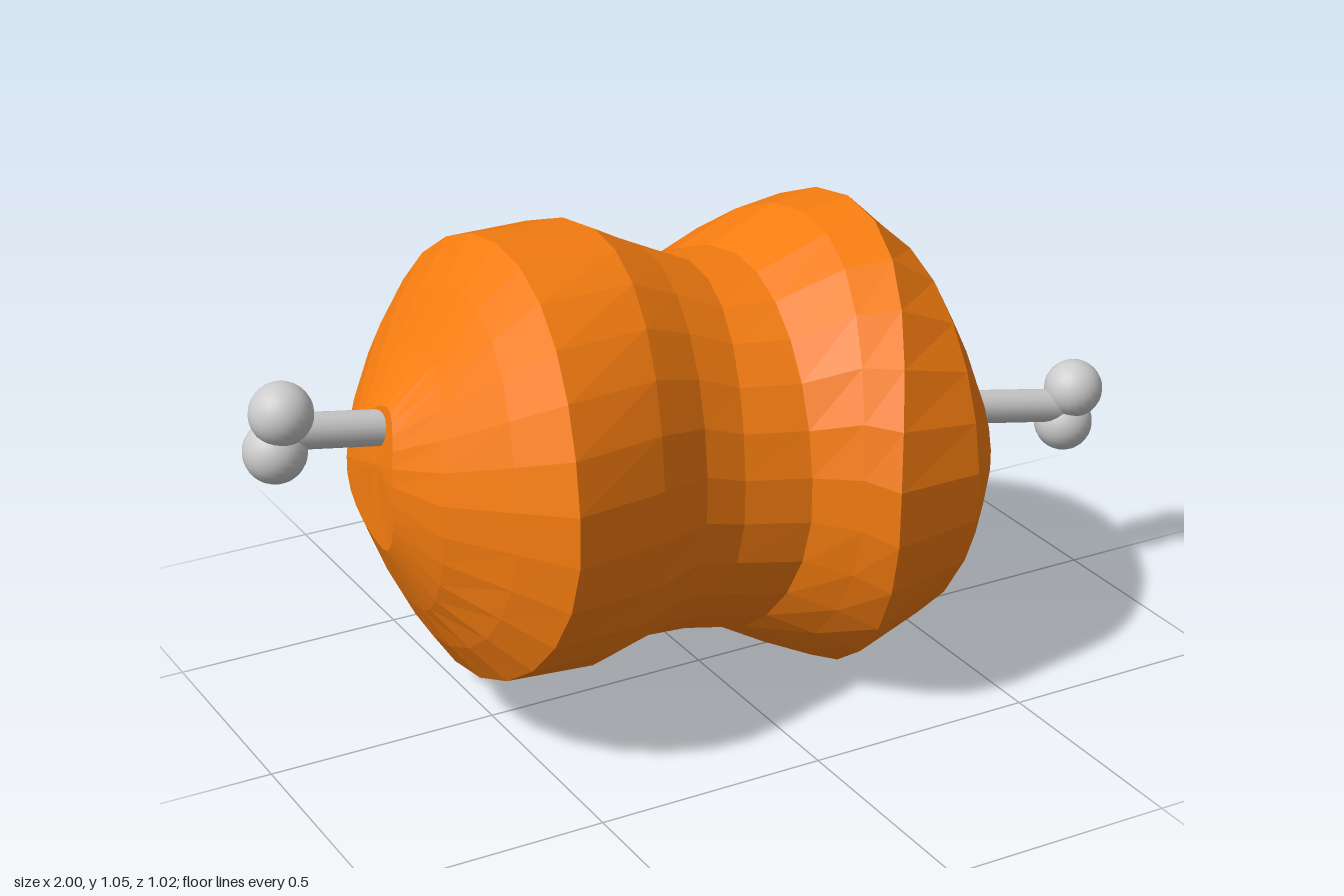
import * as THREE from 'three';

// Cross-sections along the meat: x,y of top; x,y of bottom; x,z of back; x,z of front
const SECTIONS = [
  [-0.71, 0.76, -0.73, 0.45, -0.76, -0.10, -0.74, 0.08],
  [-0.62, 0.86, -0.67, 0.31, -0.69, -0.25, -0.69, 0.20],
  [-0.54, 0.97, -0.63, 0.23, -0.61, -0.36, -0.60, 0.35],
  [-0.46, 1.06, -0.58, 0.155, -0.52, -0.45, -0.52, 0.465],
  [-0.24, 1.05, -0.37, 0.12, -0.40, -0.515, -0.30, 0.40],
  [-0.13, 0.99, -0.22, 0.145, -0.29, -0.50, -0.17, 0.34],
  [-0.02, 0.94, -0.13, 0.14, -0.20, -0.41, -0.08, 0.335],
  [0.09, 0.935, 0.00, 0.115, -0.08, -0.42, 0.06, 0.365],
  [0.25, 1.00, 0.10, 0.06, 0.06, -0.45, 0.13, 0.45],
  [0.36, 1.015, 0.215, 0.005, 0.20, -0.475, 0.18, 0.51],
  [0.45, 0.93, 0.33, 0.06, 0.39, -0.45, 0.40, 0.465],
  [0.53, 0.80, 0.46, 0.13, 0.47, -0.38, 0.48, 0.37],
  [0.60, 0.65, 0.60, 0.27, 0.59, -0.24, 0.57, 0.26],
  [0.63, 0.53, 0.69, 0.39, 0.64, -0.08, 0.64, 0.06],
];
const SIDES = 26;

// Point on a section: an ellipse through its four guide points
function sectionPoint([tx, ty, bx, by, kx, kz, fx, fz], angle) {
  const c = Math.cos(angle), s = Math.sin(angle);
  const x = c * c * (c > 0 ? tx : bx) + s * s * (s > 0 ? fx : kx);
  const y = (ty + by) / 2 + (c * (ty - by)) / 2;
  return [x, y, Math.abs(s) * (s > 0 ? fz : kz)];
}

function meatGeometry() {
  const points = [], index = [];
  for (const section of SECTIONS)
    for (let j = 0; j < SIDES; j++)
      points.push(...sectionPoint(section, (j / SIDES) * Math.PI * 2));
  const last = (SECTIONS.length - 1) * SIDES;
  const leftTip = points.length / 3, rightTip = leftTip + 1;
  points.push(-0.73, 0.63, -0.02, 0.65, 0.47, 0.0);
  for (let j = 0; j < SIDES; j++) {
    const n = (j + 1) % SIDES;
    for (let i = 0; i < last; i += SIDES)
      index.push(i + j, i + n, i + SIDES + j, i + n, i + SIDES + n, i + SIDES + j);
    index.push(leftTip, n, j, rightTip, last + j, last + n);
  }
  const indexed = new THREE.BufferGeometry();
  indexed.setAttribute('position', new THREE.Float32BufferAttribute(points, 3));
  indexed.setIndex(index);
  const geometry = indexed.toNonIndexed();
  geometry.computeVertexNormals();
  return geometry;
}

export function createModel() {
  const model = new THREE.Group();
  const meatMaterial = new THREE.MeshStandardMaterial({ color: 0xf57c10, flatShading: true });
  const boneMaterial = new THREE.MeshStandardMaterial({ color: 0xcccccc });

  const meat = new THREE.Mesh(meatGeometry(), meatMaterial);
  meat.name = 'meat';
  model.add(meat);

  // One bone end: a shaft reaching out of the meat with two knobs
  function boneEnd(name, from, to, knobs) {
    const group = new THREE.Group();
    group.name = name;
    const a = new THREE.Vector3(...from), b = new THREE.Vector3(...to);
    const dir = b.clone().sub(a);
    const shaft = new THREE.Mesh(new THREE.CylinderGeometry(0.037, 0.037, dir.length(), 16), boneMaterial);
    shaft.name = 'boneShaft';
    shaft.position.copy(a).add(b).multiplyScalar(0.5);
    shaft.quaternion.setFromUnitVectors(new THREE.Vector3(0, 1, 0), dir.normalize());
    group.add(shaft);
    for (const p of knobs) {
      const knob = new THREE.Mesh(new THREE.SphereGeometry(0.065, 24, 16), boneMaterial);
      knob.name = 'boneKnob';
      knob.position.set(...p);
      group.add(knob);
    }
    model.add(group);
  }
  boneEnd('leftBone', [0.4, 0.52, 0.01], [0.92, 0.432, 0.045],
    [[0.93, 0.475, 0.055], [0.92, 0.39, 0.037]]);
  boneEnd('rightBone', [-0.5, 0.672, -0.02], [-0.93, 0.742, -0.03],
    [[-0.925, 0.783, -0.022], [-0.935, 0.697, -0.04]]);

  return model;
}
